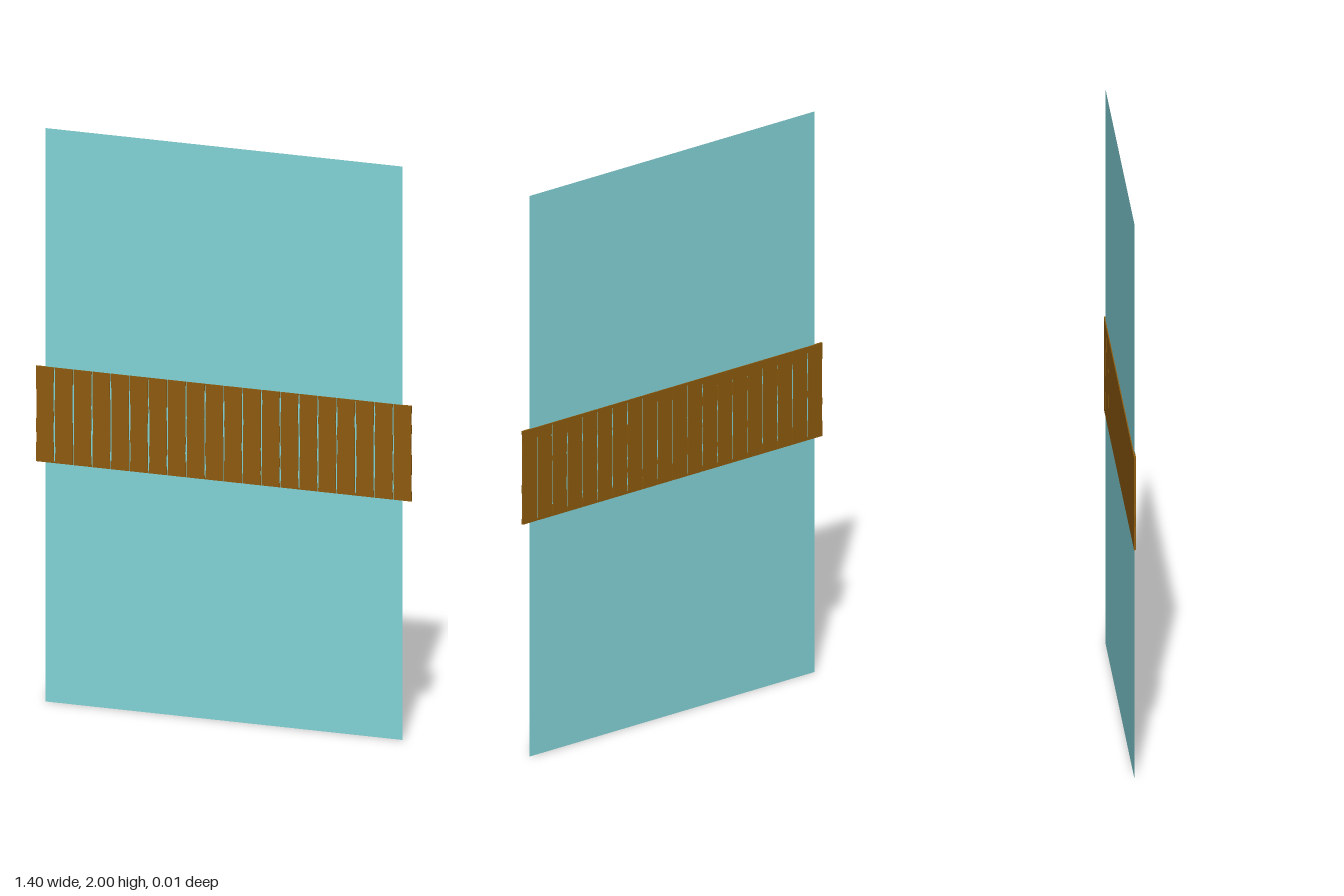
import * as THREE from 'three';

const PLANKS = 20, PITCH = 0.07, WIDTH = 0.067, HEIGHT = 0.333, DEPTH = 0.007;

// Small seeded generator for the worn plank edges
function seeded(seed) {
  return () => (seed = (seed * 16807) % 2147483647) / 2147483647;
}

// Thin board whose long edges are nicked inwards a little
function plankGeometry(random) {
  const rows = 8;
  const geometry = new THREE.BoxGeometry(WIDTH, HEIGHT, DEPTH, 1, rows, 1);
  const nicks = Array.from({ length: rows + 1 }, (_, i) =>
    i === 0 || i === rows ? [0, 0] : [random() * 0.003, random() * 0.003]);
  const position = geometry.attributes.position;
  for (let i = 0; i < position.count; i++) {
    const row = Math.round((position.getY(i) / HEIGHT + 0.5) * rows);
    const x = position.getX(i);
    position.setX(i, x < 0 ? x + nicks[row][0] : x - nicks[row][1]);
  }
  geometry.computeVertexNormals();
  return geometry;
}

export function createModel() {
  const model = new THREE.Group();
  model.name = 'plankBridgeOverWater';

  // Flat sheet of water
  const water = new THREE.Mesh(
    new THREE.PlaneGeometry(1.33, 2),
    new THREE.MeshStandardMaterial({ color: 0x84d6da, side: THREE.DoubleSide })
  );
  water.name = 'water';
  water.position.y = 1;
  model.add(water);

  // Row of planks crossing the water
  const wood = new THREE.MeshStandardMaterial({ color: 0x8f5c0e, flatShading: true });
  const random = seeded(17);
  const bridge = new THREE.Group();
  bridge.name = 'bridge';
  for (let i = 0; i < PLANKS; i++) {
    const plank = new THREE.Mesh(plankGeometry(random), wood);
    plank.name = `plank${i + 1}`;
    plank.position.set((i - (PLANKS - 1) / 2) * PITCH, 1.002, 0);
    bridge.add(plank);
  }
  model.add(bridge);
  return model;
}
